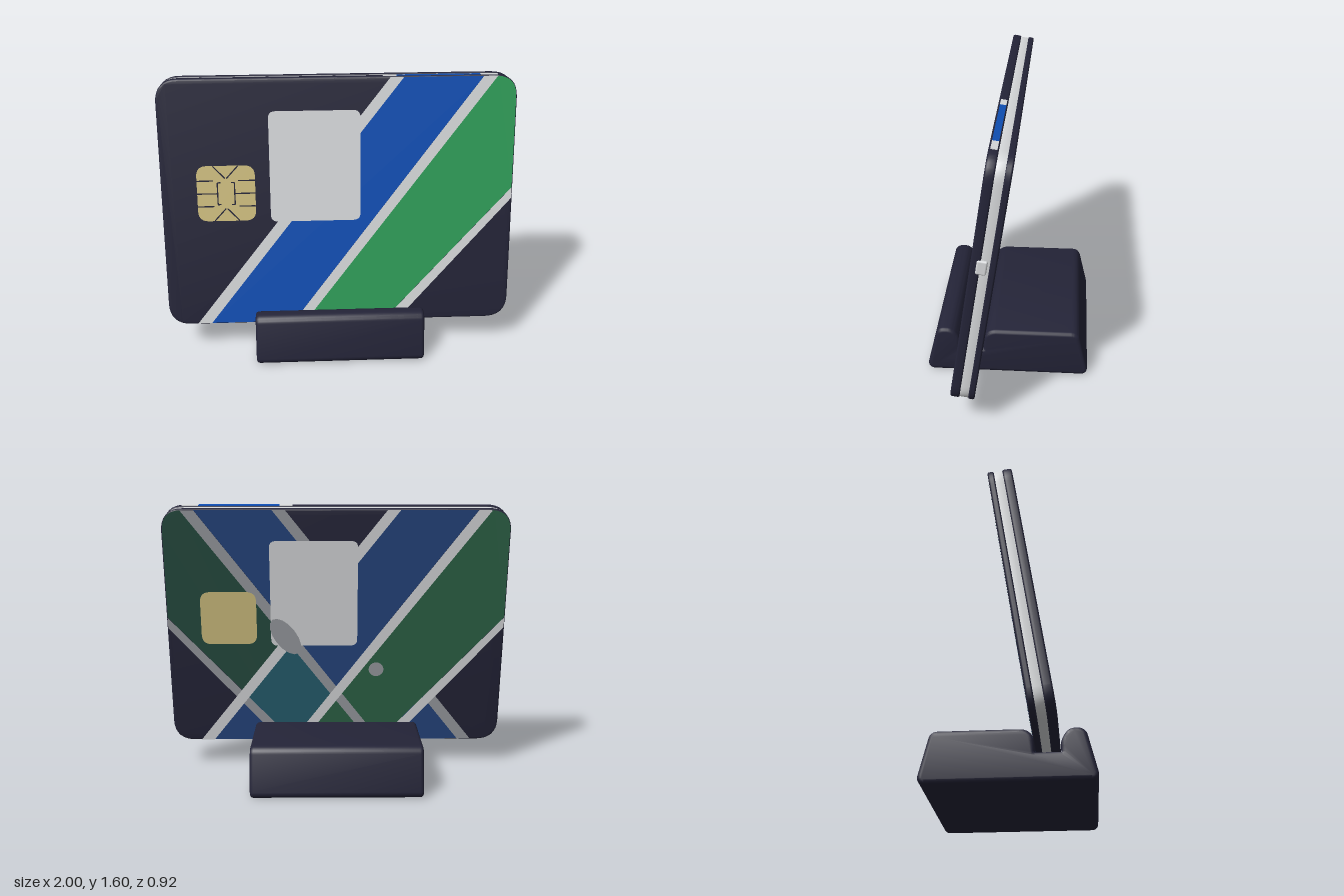
import * as THREE from 'three';
import { toCreasedNormals } from 'three/addons/utils/BufferGeometryUtils.js';
import { RoundedBoxGeometry } from 'three/addons/geometries/RoundedBoxGeometry.js';

const W = 1.992, H = 1.447, T = 0.13, TILT = 0.152;

function paint(name, color) {
  const m = new THREE.MeshStandardMaterial({ color });
  m.name = name;
  return m;
}

// Closed shape whose corners are rounded by r
function roundedShape(points, r) {
  const shape = new THREE.Shape();
  const v = points.map(p => new THREE.Vector2(...p));
  v.forEach((p, i) => {
    const prev = v[(i + v.length - 1) % v.length], next = v[(i + 1) % v.length];
    const toward = q => {
      const d = q.clone().sub(p), len = d.length();
      return p.clone().addScaledVector(d, Math.min(r, len / 2) / len);
    };
    const a = toward(prev), b = toward(next);
    if (i === 0) shape.moveTo(a.x, a.y); else shape.lineTo(a.x, a.y);
    shape.quadraticCurveTo(p.x, p.y, b.x, b.y);
  });
  shape.closePath();
  return shape;
}

function roundedRect(x0, y0, x1, y1, r) {
  return roundedShape([[x0, y0], [x1, y0], [x1, y1], [x0, y1]], r);
}

function extruded(shape, depth, bevel) {
  const g = new THREE.ExtrudeGeometry(shape, {
    depth: depth - 2 * bevel, bevelEnabled: true, bevelSize: bevel,
    bevelThickness: bevel, bevelSegments: 3, curveSegments: 8,
  });
  g.translate(0, 0, bevel - depth / 2);
  return toCreasedNormals(g, 0.6);
}

// Height on the finished model -> height on the tilted face
const fy = y => (y - 0.886) / Math.cos(TILT);

// Six slanted stripe edges, left to right: [x0, y0, x1, y1]
const EDGES = [
  [-0.834, 0.17, 0.294, 1.6], [-0.754, 0.17, 0.369, 1.6],
  [-0.18, 0.29, 0.81, 1.6], [-0.11, 0.29, 0.888, 1.6],
  [0.374, 0.29, 0.99, 0.963], [0.449, 0.29, 0.99, 0.9],
].map(([a, b, c, d]) => [a, fy(b), c, fy(d)]);

// Keep the part of a convex polygon on one side of an edge
function clip(poly, [x0, y0, x1, y1], sign) {
  const side = p => sign * ((x1 - x0) * (p.y - y0) - (y1 - y0) * (p.x - x0));
  const out = [];
  poly.forEach((p, i) => {
    const q = poly[(i + 1) % poly.length], a = side(p), b = side(q);
    if (a >= 0) out.push(p);
    if ((a > 0 && b < 0) || (a < 0 && b > 0)) out.push(p.clone().lerp(q, a / (a - b)));
  });
  return out;
}

// Part of a polygon between stripe edges i and j, optionally mirrored in x
function band(poly, i, j, mirror = false) {
  const m = mirror ? -1 : 1;
  const edge = k => { const [a, b, c, d] = EDGES[k]; return [a * m, b, c * m, d]; };
  return clip(clip(poly, edge(i), -m), edge(j), m);
}

export function createModel() {
  const dark = paint('dark navy', 0x242438);
  const white = paint('light grey', 0xd8dadc);
  const blue = paint('blue', 0x0f4fb5);
  const green = paint('green', 0x2f9d58);
  const gold = paint('gold', 0xd0c080);
  const dullBlue = paint('muted blue', 0x25457e);
  const dullGreen = paint('muted green', 0x2d6347);
  const deepGreen = paint('deep green', 0x264c40);
  const teal = paint('teal', 0x255d6e);
  const grey = paint('mid grey', 0x9a9da2);

  const model = new THREE.Group();
  model.name = 'cardDisplay';
  const add = (parent, name, geometry, material, x = 0, y = 0, z = 0) => {
    const mesh = new THREE.Mesh(geometry, material);
    mesh.name = name;
    mesh.position.set(x, y, z);
    parent.add(mesh);
    return mesh;
  };

  // Base with a slot, profile drawn in (z, y) and swept along x
  const profile = roundedShape([
    [0.447, 0.02], [0.388, 0.265], [0.325, 0.265], [0.293, 0.21], [0.297, 0.135],
    [0.12, 0.135], [0.115, 0.24], [0.085, 0.265], [-0.388, 0.265], [-0.447, 0.02],
  ].reverse(), 0.025);
  const baseGeometry = extruded(profile, 0.975, 0.02);
  baseGeometry.rotateY(-Math.PI / 2);
  add(model, 'base', baseGeometry, dark);

  // Leaning panel made of three layers
  const panel = new THREE.Group();
  panel.name = 'panel';
  panel.position.set(0, 0.876, 0.1);
  panel.rotation.x = -TILT;
  model.add(panel);
  const layer = (name, z0, z1, inset, bevel, material) => {
    const w = W / 2 - inset - bevel, h = H / 2 - inset - bevel;
    add(panel, name, extruded(roundedRect(-w, -h, w, h, 0.12), z1 - z0, bevel),
      material, 0, 0, (z0 + z1) / 2);
  };
  layer('frontLayer', 0.014, T / 2, 0, 0.01, dark);
  layer('middleLayer', -0.034, 0.018, 0.006, 0.004, white);
  layer('backLayer', -T / 2, -0.03, 0, 0.01, dark);
  add(panel, 'sideButton', new RoundedBoxGeometry(0.03, 0.08, 0.055, 3, 0.01),
    white, 0.987, 0.145, 0.008);

  // Stripe colours carried over the top edge
  [[0.25, 0.325, white], [0.325, 0.79, blue], [0.79, 0.885, white]].forEach(([a, b, m]) =>
    add(panel, 'topEdgeStripe', new THREE.BoxGeometry(b - a, 0.004, 0.034), m,
      (a + b) / 2, H / 2, 0.039));

  // Painted faces: each new plate lies slightly above the last
  const w = W / 2 - 0.006, h = H / 2 - 0.006;
  const outline = roundedRect(-w, -h, w, h, 0.12).getPoints(10);
  const face = (name, turn) => {
    const group = new THREE.Group();
    group.name = name;
    group.rotation.y = turn;
    panel.add(group);
    let z = T / 2;
    const plate = (label, shape, material) => {
      z += 0.0006;
      const s = Array.isArray(shape) ? new THREE.Shape(shape) : shape;
      return add(group, label, new THREE.ShapeGeometry(s, 8), material, 0, 0, z);
    };
    return { group, plate, top: () => z };
  };
  const square = roundedRect(-0.385, fy(0.79), 0.125, fy(1.42), 0.04);
  const chip = roundedRect(-0.795, fy(0.8), -0.468, fy(1.12), 0.06);
  const stripes = (plate) => {
    for (const i of [0, 2, 4]) plate('whiteStripe', band(outline, i, i + 1), white);
    plate('whiteSquare', square, white);
    plate('chip', chip, gold);
  };

  // Front pattern
  const front = face('frontPattern', 0);
  front.plate('blueBand', band(outline, 1, 2), blue);
  front.plate('greenBand', band(outline, 3, 4), green);
  stripes(front.plate);

  // Fine contact lines on the chip, mirrored about its centre
  const chipLine = (x0, y0, x1, y1) => {
    const line = add(front.group, 'chipLine',
      new THREE.PlaneGeometry(Math.hypot(x1 - x0, y1 - y0), 0.007), dark,
      -0.632 + (x0 + x1) / 2, fy(0.96) + (y0 + y1) / 2, front.top() + 0.0006);
    line.rotation.z = Math.atan2(y1 - y0, x1 - x0);
  };
  for (const sx of [-1, 1]) {
    chipLine(0.048 * sx, -0.064, 0.048 * sx, 0.064);
    chipLine(0.048 * sx, 0, 0.163 * sx, 0);
    for (const sy of [-1, 1]) {
      chipLine(0.07 * sx, 0.16 * sy, 0.004 * sx, 0.088 * sy);
      chipLine(0.07 * sx, 0.075 * sy, 0.163 * sx, 0.075 * sy);
      chipLine(0.03 * sx, 0.064 * sy, 0.048 * sx, 0.064 * sy);
    }
  }

  // Back pattern: the same stripes crossed by a mirrored, muted set
  const back = face('backPattern', Math.PI);
  back.plate('mirroredGreenBand', band(outline, 3, 4, true), deepGreen);
  back.plate('mirroredBlueBand', band(outline, 1, 2, true), dullBlue);
  back.plate('mirroredStripe', band(outline, 0, 1, true), grey);
  back.plate('blueBand', band(outline, 1, 2), dullBlue);
  back.plate('greenBand', band(outline, 3, 4), dullGreen);
  back.plate('tealCrossing', band(band(outline, 1, 2), 3, 4, true), teal);
  for (const i of [2, 4]) back.plate('mirroredStripe', band(outline, i, i + 1, true), grey);
  stripes(back.plate);
  const oval = (x, y, rx, ry, turn) =>
    new THREE.Shape().absellipse(x, y, rx, ry, 0, Math.PI * 2, false, turn);
  back.plate('greyOval', oval(-0.3, -0.04, 0.13, 0.065, -0.95), grey);
  back.plate('greyDot', oval(0.24, -0.25, 0.045, 0.045, 0), grey);

  return model;
}
